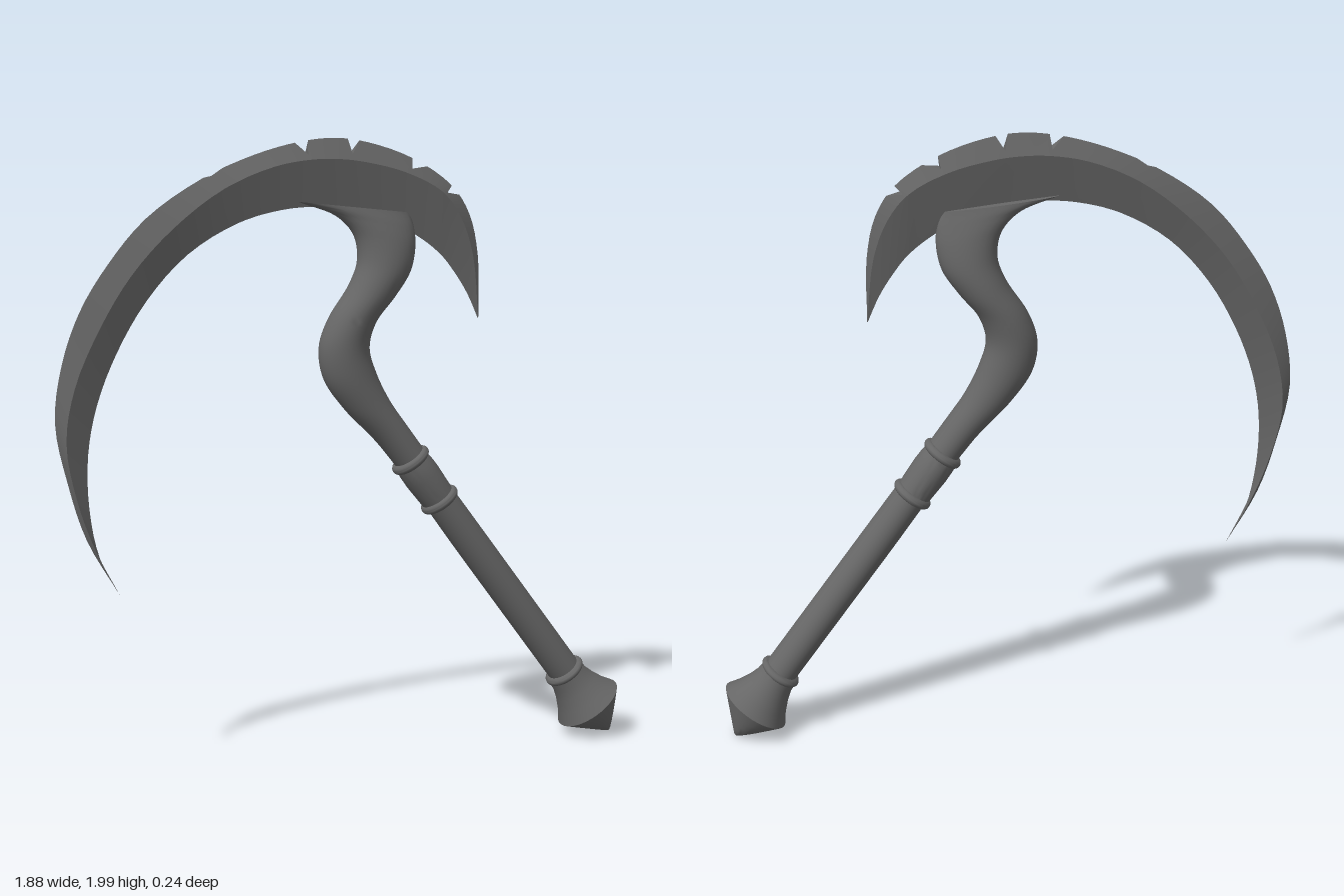
import * as THREE from 'three';
import { toCreasedNormals } from 'three/addons/utils/BufferGeometryUtils.js';

const material = new THREE.MeshStandardMaterial({ color: 0x666666 });

// Skin a series of closed cross-sections, each a loop of [x, y, z]
function loft(rings, crease) {
  const n = rings[0].length, index = [];
  for (let i = 0; i < rings.length - 1; i++) {
    for (let j = 0; j < n; j++) {
      const a = i * n + j, b = i * n + (j + 1) % n;
      index.push(a, b, a + n, b, b + n, a + n);
    }
  }
  const g = new THREE.BufferGeometry();
  g.setAttribute('position', new THREE.Float32BufferAttribute(rings.flat(2), 3));
  g.setIndex(index);
  return toCreasedNormals(g, crease);
}

const curve = (pts) => new THREE.CatmullRomCurve3(pts.map(([x, y, z = 0]) => new THREE.Vector3(x, y, z)));

function part(name, geometry) {
  const mesh = new THREE.Mesh(geometry, material);
  mesh.name = name;
  return mesh;
}

// Blade stations: cutting edge, bevel ridge and inner edge, tip to tip
const outer = curve([[-.75, .58], [-.85, .76], [-.905, .94], [-.94, 1.13], [-.915, 1.31], [-.857, 1.47],
  [-.77, 1.61], [-.65, 1.75], [-.476, 1.87], [-.307, 1.945], [-.164, 1.985], [-.05, 1.998], [.06, 1.985],
  [.21, 1.935], [.34, 1.85], [.4, 1.76], [.43, 1.63], [.434, 1.42]]);
const ridge = curve([[-.75, .58], [-.825, .73], [-.88, .89], [-.91, 1.07], [-.88, 1.24], [-.8, 1.42],
  [-.7, 1.58], [-.57, 1.72], [-.41, 1.84], [-.25, 1.908], [-.13, 1.93], [-.04, 1.932], [.05, 1.922],
  [.18, 1.89], [.3, 1.83], [.365, 1.75], [.41, 1.63], [.434, 1.42]]);
const inner = curve([[-.75, .58], [-.81, .7], [-.84, .86], [-.84, 1.03], [-.81, 1.18], [-.746, 1.34],
  [-.65, 1.5], [-.52, 1.64], [-.36, 1.735], [-.22, 1.775], [-.1, 1.785], [0, 1.78], [.1, 1.75],
  [.21, 1.7], [.3, 1.635], [.35, 1.575], [.395, 1.505], [.434, 1.42]]);

function bladeGeometry() {
  const last = 17;
  // Chips in the cutting edge: station and depth towards the ridge
  const notches = [[8.15, .12], [10, .7], [11.5, .7], [13.08, .65], [14.1, .75]];
  const stations = [];
  for (let u = 0; u <= last; u += .25) {
    if (!notches.some(([c]) => u > c - .15 && u < c + .3)) stations.push([u, 0]);
  }
  for (const [c, d] of notches) stations.push([c - .1, 0], [c, d], [c + .25, 0]);
  stations.sort((a, b) => a[0] - b[0]);
  // The section is thickest at the ridge and sharp at both edges
  const rings = stations.map(([u, depth]) => {
    const t = u / last;
    const r = ridge.getPoint(t), i = inner.getPoint(t);
    const o = outer.getPoint(t).lerp(r, depth);
    const z = .03 * Math.min(1, u / 3, (last - u) / 3);
    return [[i.x, i.y, 0], [r.x, r.y, -z], [o.x, o.y, -z * depth], [o.x, o.y, z * depth], [r.x, r.y, z]];
  });
  return loft(rings, .35);
}

// Handle: left and right outlines with the half depth at each station
function handleGeometry() {
  const left = curve([[-.17, 1.8], [-.045, 1.755], [.013, 1.695], [.026, 1.615], [0, 1.54], [-.07, 1.43],
    [-.1, 1.34], [-.085, 1.24], [-.016, 1.14], [.103, 1.017], [.4, .616], [.731, .169]]);
  const right = curve([[.2, 1.765, .03], [.213, 1.72, .041], [.217, 1.66, .056], [.2, 1.58, .072],
    [.148, 1.5, .082], [.085, 1.42, .083], [.063, 1.34, .08], [.085, 1.26, .077], [.13, 1.17, .07],
    [.191, 1.083, .063], [.488, .682, .062], [.819, .235, .062]]);
  const steps = 66, sides = 28;
  const section = (t, depth) => {
    const l = left.getPoint(t), r = right.getPoint(t);
    return Array.from({ length: sides }, (_, j) => {
      const a = j / sides * Math.PI * 2, w = (1 + Math.cos(a)) / 2;
      return [l.x + (r.x - l.x) * w, l.y + (r.y - l.y) * w, r.z * depth * Math.sin(a)];
    });
  };
  // A flattened first section closes the top against the blade
  const rings = [section(0, 0)];
  for (let k = 0; k <= steps; k++) rings.push(section(k / steps, 1));
  return loft(rings, .8);
}

function lathe(profile, crease = .5) {
  const g = new THREE.LatheGeometry(profile.map(([r, y]) => new THREE.Vector2(r, y)), 36);
  return toCreasedNormals(g, crease);
}

// Pommel point: straight-sided across x, rounded across z
function pommelTipGeometry() {
  const g = lathe([0, .06, .15, .3, .5, .75, 1].map((h) => [.118 * h, .128 * h]), .6);
  const p = g.attributes.position;
  for (let i = 0; i < p.count; i++) {
    const h = p.getY(i) / .128;
    if (h > 0) p.setZ(i, p.getZ(i) * Math.pow(h, -.4));
  }
  g.deleteAttribute('normal');
  return toCreasedNormals(g, .6);
}

// Rounded band centred on height y along the handle
function band(y, r, h) {
  const pts = [];
  for (let k = 0; k <= 8; k++) {
    const a = (k / 8 - .5) * Math.PI;
    pts.push([r - .018 + .018 * Math.cos(a), y + h * Math.sin(a)]);
  }
  return lathe([[.04, y - h], ...pts, [.04, y + h]], .7);
}

export function createModel() {
  const model = new THREE.Group();
  model.name = 'sickle';
  model.add(part('blade', bladeGeometry()), part('handle', handleGeometry()));

  // Fittings turned around the straight part of the handle, from the pommel tip up
  const fittings = new THREE.Group();
  fittings.name = 'handleFittings';
  fittings.position.set(.919, .004, 0);
  fittings.rotation.z = Math.atan2(.595, .804);

  fittings.add(part('pommelTip', pommelTipGeometry()));
  fittings.add(part('pommelFlare', lathe([[.118, .128], [.095, .165], [.077, .205], [.066, .24], [.063, .275]])));

  const bands = new THREE.Group();
  bands.name = 'bands';
  bands.add(part('pommelCollar', band(.275, .07, .014)));
  bands.add(part('lowerGripBand', band(1.032, .068, .016)));
  bands.add(part('upperGripBand', band(1.2, .068, .016)));
  bands.add(part('gripSleeve', lathe([[.056, 1.03], [.058, 1.07], [.061, 1.13], [.06, 1.17], [.056, 1.2]])));
  bands.scale.z = 1.12;
  fittings.add(bands);

  model.add(fittings);
  return model;
}
